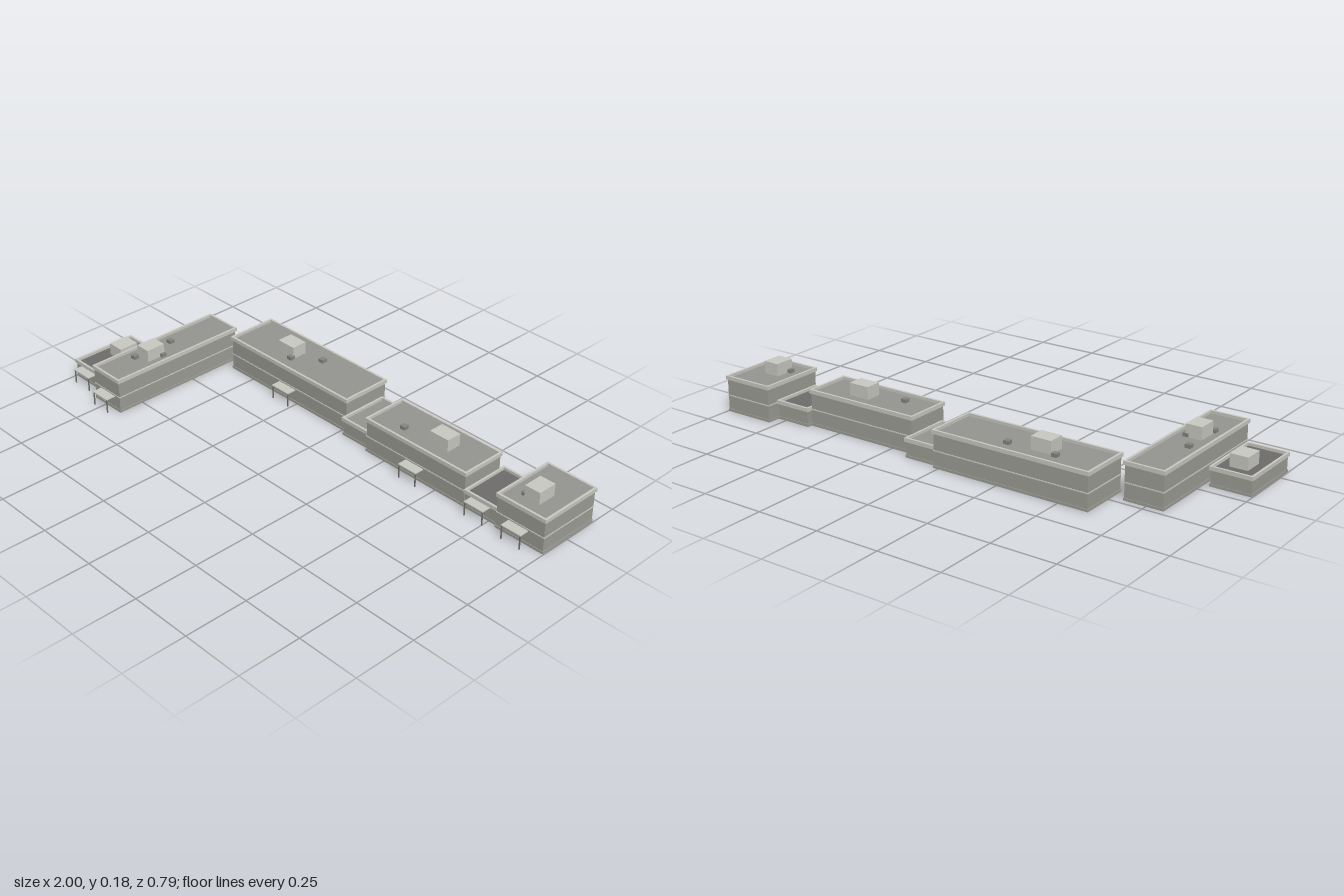
import * as THREE from 'three';

const mat = (name, color) => {
  const m = new THREE.MeshStandardMaterial({ color });
  m.name = name;
  return m;
};

export function createModel() {
  const wall = mat('wall grey', 0x9f9f98);
  const trim = mat('pale trim', 0xcbcbc5);
  const roofLight = mat('roof grey', 0x969691);
  const roofDark = mat('dark roof', 0x706c6c);
  const metal = mat('dark metal', 0x72726f);
  const vent = mat('vent grey', 0x858581);

  const add = (group, name, geometry, material) => {
    const mesh = new THREE.Mesh(geometry, material);
    mesh.name = name;
    group.add(mesh);
  };

  // Axis-aligned box given by its limits
  const box = (x0, x1, y0, y1, z0, z1) =>
    new THREE.BoxGeometry(x1 - x0, y1 - y0, z1 - z0)
      .translate((x0 + x1) / 2, (y0 + y1) / 2, (z0 + z1) / 2);

  // Rectangular hollow frame, inset from a footprint [x0, x1, z0, z1]
  const ring = ([x0, x1, z0, z1], inset, thick, y0, y1) => {
    const loop = (d) => [
      new THREE.Vector2(x0 + d, -z1 + d), new THREE.Vector2(x1 - d, -z1 + d),
      new THREE.Vector2(x1 - d, -z0 - d), new THREE.Vector2(x0 + d, -z0 - d),
    ];
    const shape = new THREE.Shape(loop(inset));
    shape.holes.push(new THREE.Path(loop(inset + thick).reverse()));
    return new THREE.ExtrudeGeometry(shape, { depth: y1 - y0, bevelEnabled: false })
      .rotateX(-Math.PI / 2).translate(0, y0, 0);
  };

  // foot and unit: [x0, x1, z0, z1]; vents: [x, z]; canopy: [x0, x1]
  const blocks = [
    { name: 'smallWing', foot: [-1, -0.835, 0.04, 0.315], floors: 1, dark: true,
      unit: [-0.95, -0.88, 0.1, 0.18], vents: [[-0.885, 0.235]], canopy: [-0.96, -0.87] },
    { name: 'sideWing', foot: [-0.82, -0.66, -0.23, 0.36], floors: 2,
      unit: [-0.77, -0.706, 0.1, 0.18],
      vents: [[-0.765, 0.022], [-0.765, 0.197], [-0.707, 0.11]], canopy: [-0.78, -0.695] },
    { name: 'mainHall', foot: [-0.623, 0.023, -0.38, -0.167], floors: 2,
      unit: [-0.425, -0.342, -0.305, -0.24],
      vents: [[-0.445, -0.308], [-0.25, -0.308], [-0.35, -0.235]], canopy: [-0.347, -0.258] },
    { name: 'middleLink', foot: [0.018, 0.16, -0.362, -0.148], floors: 1, vents: [] },
    { name: 'eastHall', foot: [0.154, 0.64, -0.325, -0.133], floors: 2,
      unit: [0.411, 0.497, -0.26, -0.197], vents: [[0.288, -0.197]], canopy: [0.355, 0.44] },
    { name: 'eastLink', foot: [0.634, 0.788, -0.345, -0.133], floors: 1, dark: true,
      vents: [], canopy: [0.667, 0.753] },
    { name: 'endBlock', foot: [0.784, 1, -0.395, -0.123], floors: 2,
      unit: [0.855, 0.92, -0.265, -0.185], vents: [[0.85, -0.2]], canopy: [0.842, 0.928] },
  ];

  const model = new THREE.Group();
  model.name = 'buildingComplex';

  for (const b of blocks) {
    const g = new THREE.Group();
    g.name = b.name;
    const [x0, x1, z0, z1] = b.foot;
    const top = b.floors === 2 ? 0.143 : 0.075;
    const eave = top - 0.015;
    const roofY = top - 0.011;

    // Hollow shell, plinth, parapet and sunken roof
    add(g, 'walls', ring(b.foot, 0.005, 0.004, 0, eave), wall);
    add(g, 'plinth', ring(b.foot, 0.0025, 0.0035, 0, 0.01), wall);
    add(g, 'parapet', ring(b.foot, 0, 0.009, eave, top), trim);
    add(g, 'roof', box(x0 + 0.006, x1 - 0.006, roofY - 0.004, roofY, z0 + 0.006, z1 - 0.006),
      b.dark ? roofDark : roofLight);
    if (b.floors === 2) add(g, 'floorBand', ring(b.foot, 0.003, 0.003, 0.063, 0.067), trim);

    // Rooftop equipment
    if (b.unit) {
      const [a, c, d, e] = b.unit;
      add(g, 'rooftopUnit', box(a, c, roofY, top + 0.038, d, e), trim);
    }
    for (const [x, z] of b.vents) {
      add(g, 'roofVent', box(x - 0.011, x + 0.011, roofY, top + 0.003, z - 0.011, z + 0.011), vent);
    }

    // Entrance canopy on two posts
    if (b.canopy) {
      const [a, c] = b.canopy;
      const front = z1 + 0.035;
      add(g, 'canopy', box(a, c, 0.055, 0.059, z1 - 0.006, front), trim);
      for (const x of [a + 0.003, c - 0.003]) {
        add(g, 'canopyPost', box(x - 0.002, x + 0.002, 0, 0.055, front - 0.005, front - 0.001), metal);
      }
    }
    model.add(g);
  }
  return model;
}
